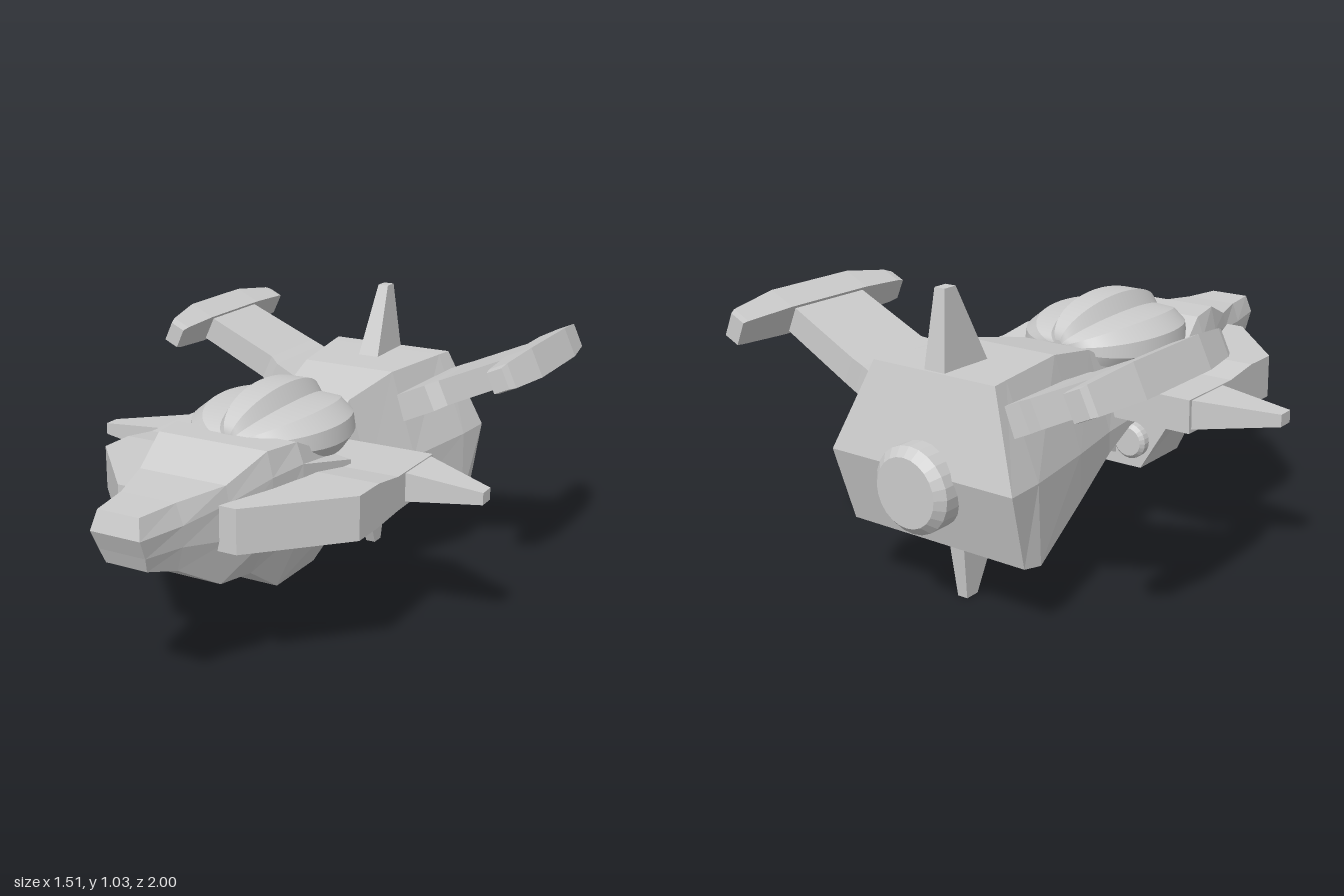
import * as THREE from 'three';

const flat = new THREE.MeshStandardMaterial({ color: 0xcccccc, flatShading: true });
const smooth = new THREE.MeshStandardMaterial({ color: 0xcccccc, side: THREE.DoubleSide });

// Skin a row of closed rings (even point count) and cap both ends with strips
function loft(rings) {
  const tris = [];
  const quad = (a, b, c, d) => tris.push([a, b, c], [a, c, d]);
  const n = rings[0].length;
  for (let k = 0; k < rings.length - 1; k++) {
    const a = rings[k], b = rings[k + 1];
    for (let i = 0; i < n; i++) {
      const j = (i + 1) % n;
      quad(a[i], b[i], b[j], a[j]);
    }
  }
  const first = rings[0], last = rings[rings.length - 1];
  for (let i = 0; i < n / 2 - 1; i++) {
    quad(first[i], first[i + 1], first[n - 2 - i], first[n - 1 - i]);
    quad(last[n - 1 - i], last[n - 2 - i], last[i + 1], last[i]);
  }
  // Turn the solid outward whatever the ring direction
  let volume = 0;
  for (const [a, b, c] of tris) {
    volume += a[0] * (b[1] * c[2] - b[2] * c[1]) + a[1] * (b[2] * c[0] - b[0] * c[2]) + a[2] * (b[0] * c[1] - b[1] * c[0]);
  }
  const verts = tris.flatMap(t => (volume < 0 ? [t[0], t[2], t[1]] : t)).flat();
  const geo = new THREE.BufferGeometry();
  geo.setAttribute('position', new THREE.Float32BufferAttribute(verts, 3));
  geo.computeVertexNormals();
  return geo;
}

// Mirror a right-hand half section (top to bottom) into a full ring
const fullRing = (half, z) => {
  const pts = half.map(p => [p[0], p[1], p[2] ?? z]);
  return [...[...pts].reverse(), ...pts.map(([x, y, w]) => [-x, y, w])];
};

// Rectangle at constant z
const rectZ = (z, x0, x1, y0, y1) => [[x0, y0, z], [x1, y0, z], [x1, y1, z], [x0, y1, z]];
// Rectangle at constant x
const rectX = (x, y0, y1, z0, z1) => [[x, y0, z0], [x, y1, z0], [x, y1, z1], [x, y0, z1]];
// Rectangle at constant y
const rectY = (y, w, z0, z1) => [[-w, y, z0], [w, y, z0], [w, y, z1], [-w, y, z1]];

export function createModel() {
  const model = new THREE.Group();
  const add = (name, geo, mat = flat) => {
    const mesh = new THREE.Mesh(geo, mat);
    mesh.name = name;
    model.add(mesh);
    return mesh;
  };
  const addPair = (name, rings) => {
    for (const [side, s] of [['left', 1], ['right', -1]]) {
      add(side + name, loft(rings.map(r => r.map(([x, y, z]) => [s * x, y, z]))));
    }
  };

  // Front body with the nose
  add('frontBody', loft([
    fullRing([[0.075, 0.665, 0.98], [0.09, 0.6, 1], [0.085, 0.535, 0.97], [0.075, 0.485, 0.95]]),
    fullRing([[0.1, 0.668], [0.125, 0.6], [0.12, 0.53], [0.1, 0.45]], 0.83),
    fullRing([[0.16, 0.677], [0.17, 0.62], [0.17, 0.5], [0.135, 0.345]], 0.65),
    fullRing([[0.205, 0.745], [0.225, 0.66], [0.22, 0.47], [0.14, 0.32]], 0.48),
    fullRing([[0.23, 0.74], [0.255, 0.67], [0.26, 0.46], [0.155, 0.225]], 0.34),
    fullRing([[0.23, 0.63], [0.295, 0.62], [0.3, 0.46], [0.155, 0.225]], 0.09),
  ]));

  // Rear hull, flaring towards the tail
  add('rearHull', loft([
    fullRing([[0.13, 0.63], [0.17, 0.48], [0.15, 0.43]], 0.15),
    fullRing([[0.13, 0.64], [0.195, 0.455], [0.195, 0.43]], -0.04),
    fullRing([[0.135, 0.73], [0.22, 0.46], [0.22, 0.385]], -0.2),
    fullRing([[0.18, 0.78], [0.28, 0.47], [0.28, 0.31]], -0.45),
    fullRing([[0.23, 0.785], [0.345, 0.485], [0.35, 0.22]], -0.755),
    fullRing([[0.24, 0.785, -0.82], [0.36, 0.49, -0.9], [0.345, 0.235, -0.83]]),
  ]));

  // Canopy: bands running from the front end to the rear end
  const profile = [[0.05, 0.85], [0.085, 0.795], [0.2, 0.787], [0.26, 0.74], [0.27, 0.68], [0.235, 0.63]];
  const outline = [...profile, ...[...profile].reverse().map(([x, y]) => [-x, y])];
  const canopy = new THREE.Group();
  canopy.name = 'canopy';
  const steps = 24;
  outline.forEach((p, i) => {
    const q = outline[(i + 1) % outline.length];
    const pos = [], index = [];
    for (let k = 0; k <= steps; k++) {
      const a = (k / steps) * Math.PI;
      const s = 0.18 + 0.82 * Math.sin(a);
      for (const [x, y] of [p, q]) pos.push(x * s, 0.715 + (y - 0.715) * s, 0.1 + 0.29 * Math.cos(a));
      if (k < steps) {
        const b = k * 2;
        index.push(b, b + 1, b + 2, b + 1, b + 3, b + 2);
      }
    }
    const geo = new THREE.BufferGeometry();
    geo.setAttribute('position', new THREE.Float32BufferAttribute(pos, 3));
    // Outline runs clockwise seen from the front, so reverse the triangles
    geo.setIndex(index.reverse());
    geo.computeVertexNormals();
    const band = new THREE.Mesh(geo, smooth);
    band.name = 'canopyBand';
    canopy.add(band);
  });
  // Small flat ends of the canopy
  for (const dir of [1, -1]) {
    const shape = new THREE.Shape(outline.map(([x, y]) => new THREE.Vector2(x * 0.18, (y - 0.715) * 0.18)));
    const end = new THREE.Mesh(new THREE.ShapeGeometry(shape), smooth);
    end.name = 'canopyEnd';
    end.position.set(0, 0.715, 0.1 + dir * 0.29);
    canopy.add(end);
  }
  model.add(canopy);

  // Side wing blocks and their tapered tips
  addPair('Wing', [
    rectZ(0.69, 0.14, 0.22, 0.475, 0.625),
    rectZ(0.4, 0.14, 0.49, 0.475, 0.625),
    rectZ(0.27, 0.14, 0.49, 0.475, 0.625),
    rectZ(0.13, 0.14, 0.49, 0.485, 0.605),
    rectZ(-0.14, 0.14, 0.49, 0.49, 0.605),
  ]);
  addPair('WingTip', [
    rectX(0.48, 0.5, 0.602, 0.075, -0.13),
    rectX(0.755, 0.53, 0.572, 0.05, -0.01),
  ]);

  // Small guns under the wings
  addPair('UnderwingGun', [
    rectZ(0.46, 0.335, 0.375, 0.457, 0.48),
    rectZ(0.25, 0.335, 0.375, 0.455, 0.49),
  ]);

  // Tail wings slanting upward, in a frame turned about the pod centre
  const tilt = 0.435, c = Math.cos(tilt), s = Math.sin(tilt);
  const slant = (u, v, z) => [0.68 + u * c - v * s, 0.863 + u * s + v * c, z];
  const wingRing = (u, v, z0, z1) => [slant(u, -v, z0), slant(u, v, z0), slant(u, v, z1), slant(u, -v, z1)];
  addPair('TailWing', [
    wingRing(-0.56, 0.05, -0.44, -0.81),
    wingRing(-0.385, 0.05, -0.45, -0.8),
    wingRing(-0.34, 0.048, -0.48, -0.8),
    wingRing(0, 0.045, -0.475, -0.78),
  ]);
  const podRing = (z, u, v) => [slant(-0.05, -v, z), slant(u, -v, z), slant(u, v, z), slant(-0.05, v, z)];
  addPair('TailPod', [
    podRing(-0.27, 0.008, 0.038),
    podRing(-0.3, 0.02, 0.045),
    podRing(-0.46, 0.052, 0.055),
    podRing(-0.8, 0.052, 0.055),
    podRing(-0.98, 0.02, 0.045),
    podRing(-1, 0.008, 0.042),
  ]);

  // Upper and lower fins
  add('upperFin', loft([rectY(0.76, 0.042, -0.6, -0.815), rectY(1.035, 0.02, -0.725, -0.775)]));
  add('lowerFin', loft([rectY(0.32, 0.037, -0.52, -0.75), rectY(0, 0.019, -0.663, -0.715)]));

  // Main engine with a chamfered rim
  const engine = (name, x, y, z, r, depth) => {
    const rim = r * 0.8;
    const pts = [[0, 0], [r, 0], [r, depth * 0.8], [rim, depth], [0, depth]].map(p => new THREE.Vector2(...p));
    const mesh = add(name, new THREE.LatheGeometry(pts, 24), flat);
    mesh.rotation.x = -Math.PI / 2;
    mesh.position.set(x, y, z);
  };
  engine('mainEngine', 0, 0.442, -0.82, 0.142, 0.142);

  // Twin lower thrusters behind the front body
  engine('leftThruster', 0.125, 0.33, 0.12, 0.065, 0.07);
  engine('rightThruster', -0.125, 0.33, 0.12, 0.065, 0.07);

  // Keel wedge between the thrusters
  add('keelWedge', loft([rectZ(0.1, -0.05, 0.05, 0.26, 0.46), rectZ(-0.22, -0.05, 0.05, 0.385, 0.46)]));

  return model;
}
